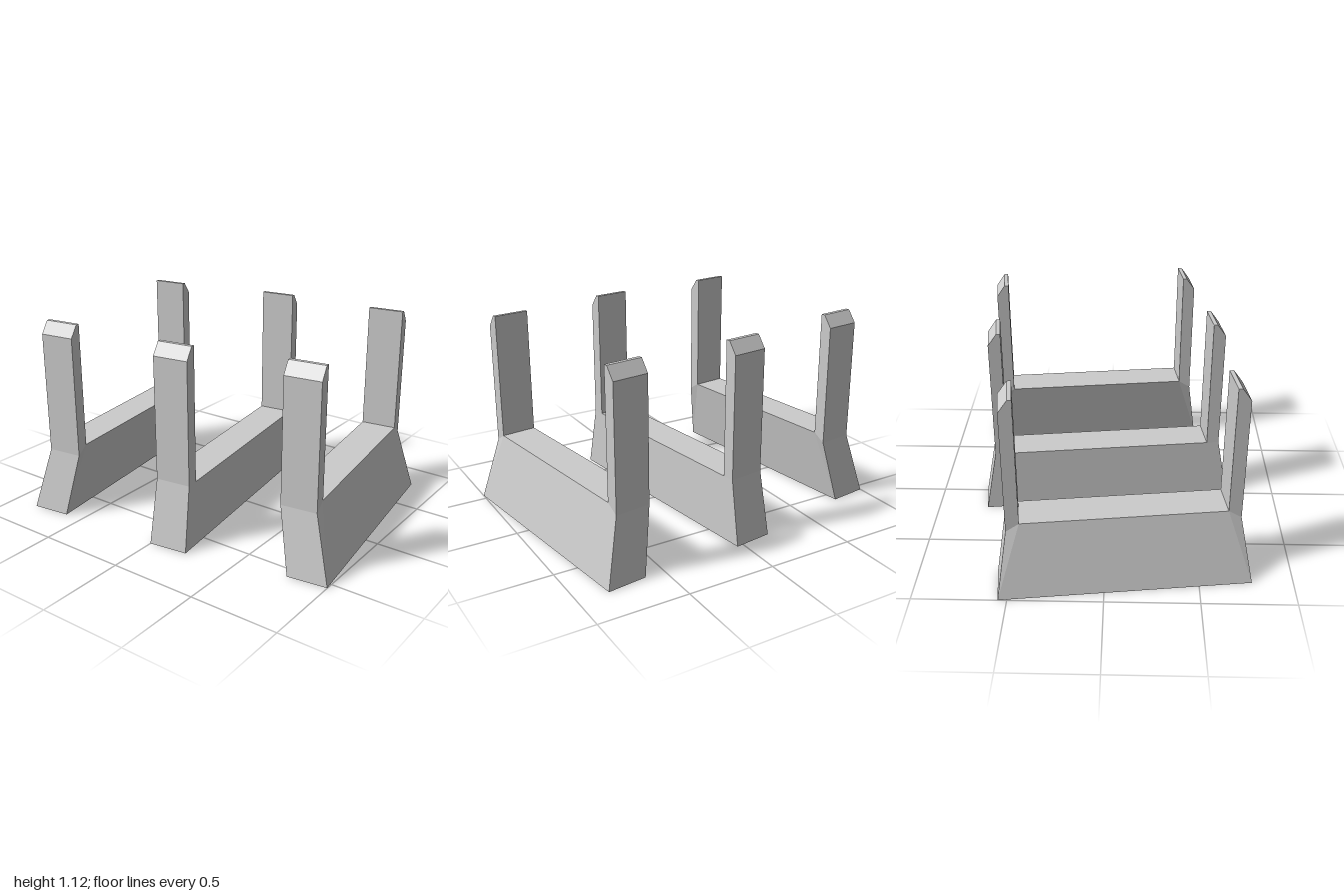
import * as THREE from 'three';

const KNEE = 0.363, CHAMFER = 1.05, TOP = 1.117;

// Side faces of a rib: beam first, then the front and back posts
const SIDE = [[0, 1, 6], [0, 6, 7], [1, 2, 6], [6, 2, 3], [6, 3, 4], [6, 4, 5],
  [7, 8, 9], [7, 9, 10], [7, 10, 11], [0, 7, 11]];

// A U-shaped rib: tapered beam with a chamfered post at each end.
// foot, shoulder: half lengths at the ground and at the knee; lean: sideways shift of the upper part
function ribGeometry(foot, shoulder, beamTop, lean) {
  const inner = shoulder - 0.07;
  const half = [[foot, 0], [shoulder, KNEE], [shoulder, CHAMFER],
    [shoulder - 0.048, TOP], [inner, TOP], [inner, beamTop]];
  const back = half.map(([z, y]) => [-z, y]).reverse();
  const outline = [back[5], ...half, ...back.slice(0, 5)];

  const point = (i, side) => {
    const [z, y] = outline[i];
    return [y === 0 ? side * 0.111 : side * 0.1 + lean, y, z];
  };
  const pos = [];
  const tri = (...corners) => corners.forEach(([i, side]) => pos.push(...point(i, side)));

  // Both sides
  for (const [a, b, c] of SIDE) {
    tri([a, -1], [b, -1], [c, -1]);
    tri([a, 1], [c, 1], [b, 1]);
  }
  // Rim joining the sides
  outline.forEach((_, i) => {
    const j = (i + 1) % outline.length;
    tri([i, -1], [i, 1], [j, 1]);
    tri([i, -1], [j, 1], [j, -1]);
  });

  const geo = new THREE.BufferGeometry();
  geo.setAttribute('position', new THREE.Float32BufferAttribute(pos, 3));
  geo.computeVertexNormals();
  return geo;
}

export function createModel() {
  const model = new THREE.Group();
  model.name = 'cradleStand';
  const material = new THREE.MeshStandardMaterial({ color: 0xcccccc, flatShading: true });

  const addRib = (name, geo, x, z) => {
    const rib = new THREE.Mesh(geo, material);
    rib.name = name;
    rib.position.set(x, 0, z);
    rib.rotation.y = 0.126;
    model.add(rib);
  };

  // Outer ribs lean towards the middle one
  addRib('rightRib', ribGeometry(0.669, 0.609, 0.407, 0.083), -0.805, 0.103);
  addRib('middleRib', ribGeometry(0.722, 0.655, KNEE, 0), 0.019, -0.01);
  addRib('leftRib', ribGeometry(0.669, 0.609, 0.407, -0.083), 0.805, -0.108);
  return model;
}
